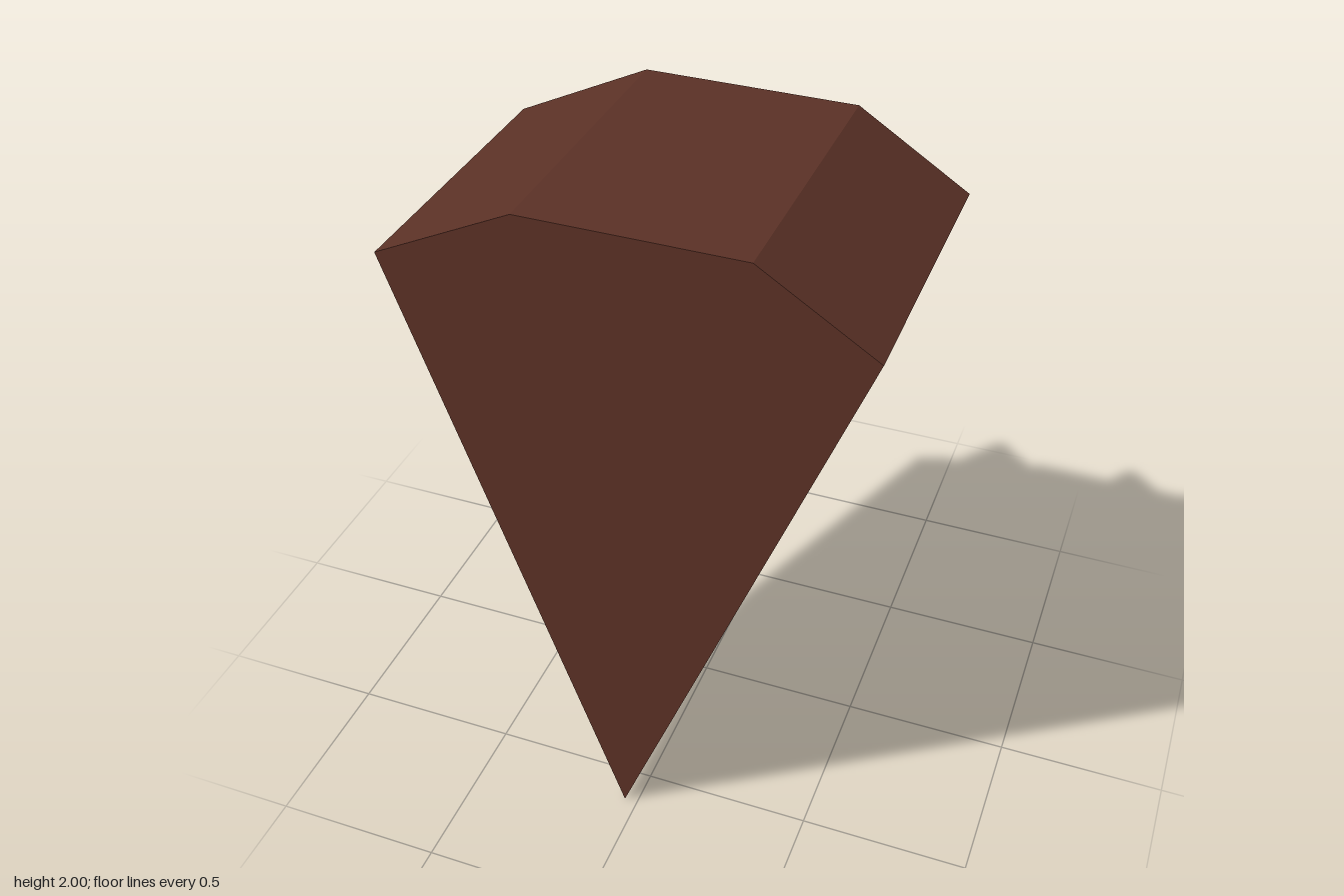
import * as THREE from 'three';

const chocolate = new THREE.MeshStandardMaterial({ name: 'chocolate', color: 0x5b3126 });
const cream = new THREE.MeshStandardMaterial({ name: 'cream filling', color: 0xd1b993 });
const white = new THREE.MeshStandardMaterial({ name: 'white icing', color: 0xf0f0f0 });
const purple = new THREE.MeshStandardMaterial({ name: 'purple icing', color: 0xb591ea });

// Flat-shaded mesh from a list of triangles (three [x, y, z] corners each)
function facets(name, tris, material) {
  const geo = new THREE.BufferGeometry();
  geo.setAttribute('position', new THREE.Float32BufferAttribute(tris.flat(2), 3));
  geo.computeVertexNormals();
  const mesh = new THREE.Mesh(geo, material);
  mesh.name = name;
  return mesh;
}

const at = ([x, y], z) => [x, y, z];

// Wall between two outline edges, from the front z to the back z
function wall(p, q, front, p2, q2, back) {
  const a = at(p, front), b = at(p2, back), c = at(q2, back), d = at(q, front);
  return [[a, b, c], [a, c, d]];
}

// Slice outline: tip, then counter-clockwise round the outer rim
const rim = [[-0.04, 0], [0.66, 1.79], [0.34, 1.995], [-0.27, 2], [-0.66, 1.815]];
const inner = [[-0.035, 0.07], [0.54, 1.65], [0.28, 1.82], [-0.225, 1.825], [-0.54, 1.67]];
const FRONT = 0.61, EDGE = -0.25, BACK = -0.35;
const next = (i) => (i + 1) % rim.length;

// Twisted icing dollop pointing to -z, with alternating coloured segments
function dollop(x, first, second) {
  const group = new THREE.Group();
  group.name = 'icingDollop';
  // z, radius, turn in degrees
  const rings = [[-0.33, 0.125, 212], [-0.4, 0.17, 200], [-0.5, 0.1, 145], [-0.61, 0.012, 130]];
  const point = ([z, r, turn], i) => {
    const t = THREE.MathUtils.degToRad(turn - i * 60);
    return [r * Math.cos(t), r * Math.sin(t), z];
  };
  const sets = [[], []];
  for (let i = 0; i < 6; i++) {
    for (let k = 0; k < 3; k++) {
      const a = point(rings[k], i), b = point(rings[k], i + 1);
      const c = point(rings[k + 1], i + 1), d = point(rings[k + 1], i);
      sets[i % 2].push([a, b, d], [b, c, d]);
    }
    // tip cap
    const tip = rings[3];
    sets[i % 2].push([point(tip, i), point(tip, i + 1), [0, 0, tip[0]]]);
  }
  group.add(facets('icingSwirlA', sets[0], first), facets('icingSwirlB', sets[1], second));
  group.position.set(x, 1.545, 0);
  return group;
}

export function createModel() {
  const model = new THREE.Group();
  model.name = 'cakeSlice';

  // Front base, outer frosting, chamfered edge and back face
  const base = [], frosting = [], bevel = [], top = [];
  for (let i = 0; i < rim.length; i++) {
    const j = next(i);
    bevel.push(...wall(rim[i], rim[j], EDGE, inner[i], inner[j], BACK));
    if (i > 0 && i < 4) {
      frosting.push(...wall(rim[i], rim[j], FRONT, rim[i], rim[j], EDGE));
      base.push([at(rim[0], FRONT), at(rim[i], FRONT), at(rim[j], FRONT)]);
      top.push([at(inner[0], BACK), at(inner[j], BACK), at(inner[i], BACK)]);
    }
  }
  model.add(
    facets('cakeBase', base, chocolate),
    facets('outerFrosting', frosting, chocolate),
    facets('bevelledEdge', bevel, chocolate),
    facets('cakeTop', top, chocolate),
  );

  // Layers showing on the two cut sides, alternating sponge and filling
  const cuts = [FRONT, 0.43, 0.34, 0.18, 0.07, -0.12, EDGE];
  for (let k = 0; k < cuts.length - 1; k++) {
    const layer = [0, 4].flatMap((i) =>
      wall(rim[i], rim[next(i)], cuts[k], rim[i], rim[next(i)], cuts[k + 1]));
    model.add(facets(k % 2 ? 'fillingLayer' : 'spongeLayer', layer, k % 2 ? cream : chocolate));
  }

  model.add(dollop(-0.225, purple, white), dollop(0.287, white, purple));
  return model;
}
